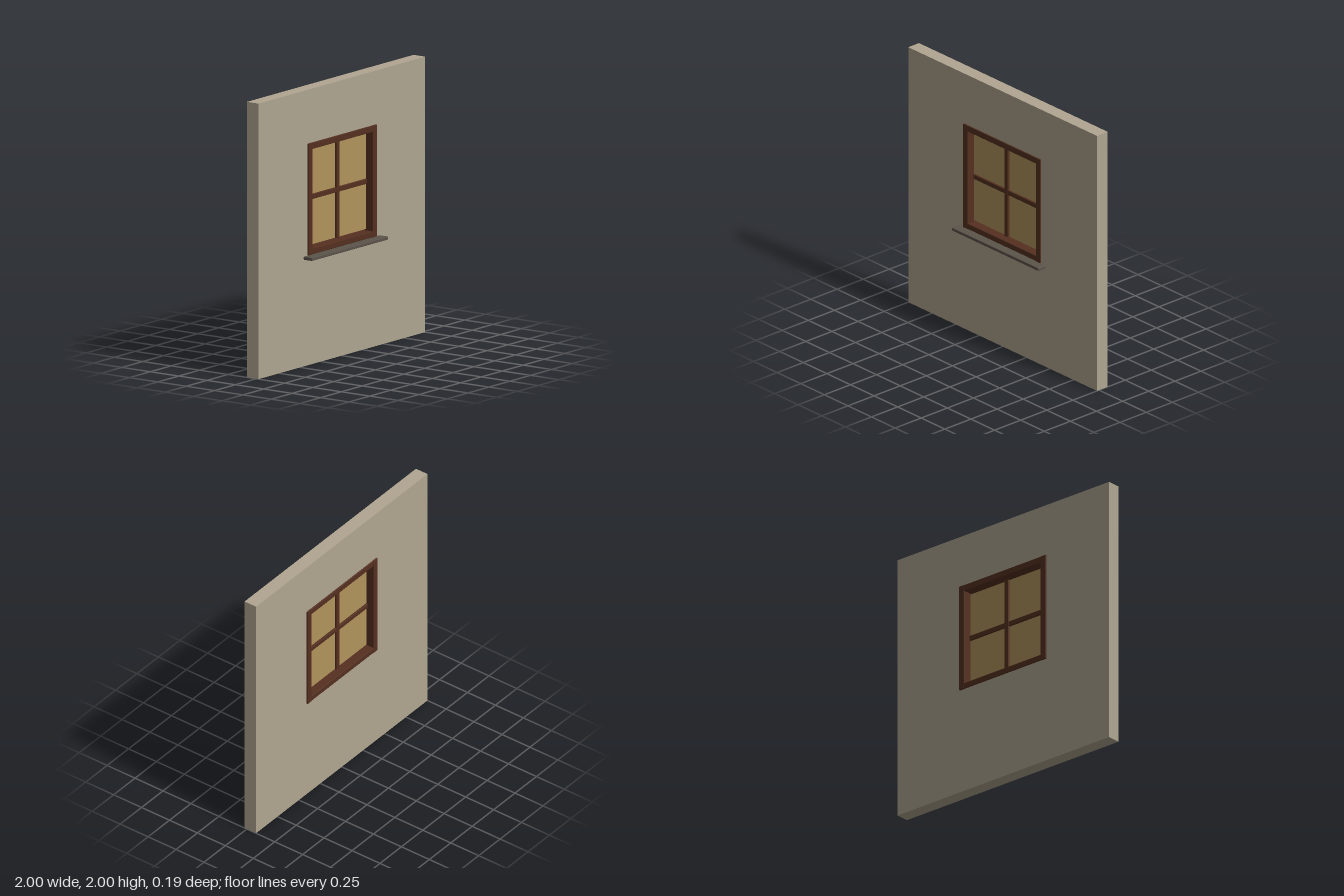
import * as THREE from 'three';
import { RoundedBoxGeometry } from 'three/addons/geometries/RoundedBoxGeometry.js';

export function createModel() {
  const model = new THREE.Group();
  model.name = 'wallWithWindow';

  const material = (name, color) => {
    const m = new THREE.MeshStandardMaterial({ color });
    m.name = name;
    return m;
  };
  const plaster = material('plaster', 0xb0a691);
  const wood = material('darkWood', 0x55301f);
  const glass = material('amberGlass', 0xb2945c);
  const stone = material('sillStone', 0x5c544b);

  const add = (name, geometry, mat, parent = model) => {
    const mesh = new THREE.Mesh(geometry, mat);
    mesh.name = name;
    parent.add(mesh);
    return mesh;
  };
  // Bar with softened edges, given by its limits on each axis
  const bar = (name, [x0, x1], [y0, y1], [z0, z1], mat, parent, bevel = 0.004) => {
    const geometry = new RoundedBoxGeometry(x1 - x0, y1 - y0, z1 - z0, 1, bevel);
    add(name, geometry, mat, parent).position.set((x0 + x1) / 2, (y0 + y1) / 2, (z0 + z1) / 2);
  };

  // Wall slab with the window opening cut through
  const rectangle = (path, x, y0, y1) =>
    path.moveTo(-x, y0).lineTo(x, y0).lineTo(x, y1).lineTo(-x, y1).closePath();
  const outline = new THREE.Shape();
  rectangle(outline, 1, 0, 2);
  const opening = new THREE.Path();
  rectangle(opening, 0.4, 0.807, 1.6);
  outline.holes.push(opening);
  const slab = new THREE.ExtrudeGeometry(outline, { depth: 0.103, bevelEnabled: false });
  add('wall', slab, plaster).position.z = -0.083;

  // Frame lining the opening and standing proud on both sides
  const frame = new THREE.Group();
  frame.name = 'windowFrame';
  model.add(frame);
  const frameZ = [-0.093, 0.03];
  bar('leftStile', [0.361, 0.409], [0.797, 1.61], frameZ, wood, frame);
  bar('rightStile', [-0.409, -0.361], [0.797, 1.61], frameZ, wood, frame);
  const railZ = [-0.091, 0.028];
  bar('topRail', [-0.366, 0.366], [1.562, 1.609], railZ, wood, frame);
  bar('bottomRail', [-0.366, 0.366], [0.798, 0.841], railZ, wood, frame);

  // Glass pane, with a narrow gap to the frame
  add('pane', new THREE.BoxGeometry(0.706, 0.696, 0.008), glass).position.set(0, 1.201, -0.031);

  // Crossing glazing bars
  const cross = new THREE.Group();
  cross.name = 'glazingBars';
  model.add(cross);
  bar('verticalBar', [-0.019, 0.019], [0.853, 1.55], [-0.051, -0.011], wood, cross);
  bar('horizontalBar', [-0.35, 0.35], [1.184, 1.22], [-0.049, -0.013], wood, cross);

  // Projecting outer sill
  bar('sill', [-0.457, 0.457], [0.773, 0.797], [0.01, 0.093], stone, model, 0.005);

  return model;
}
